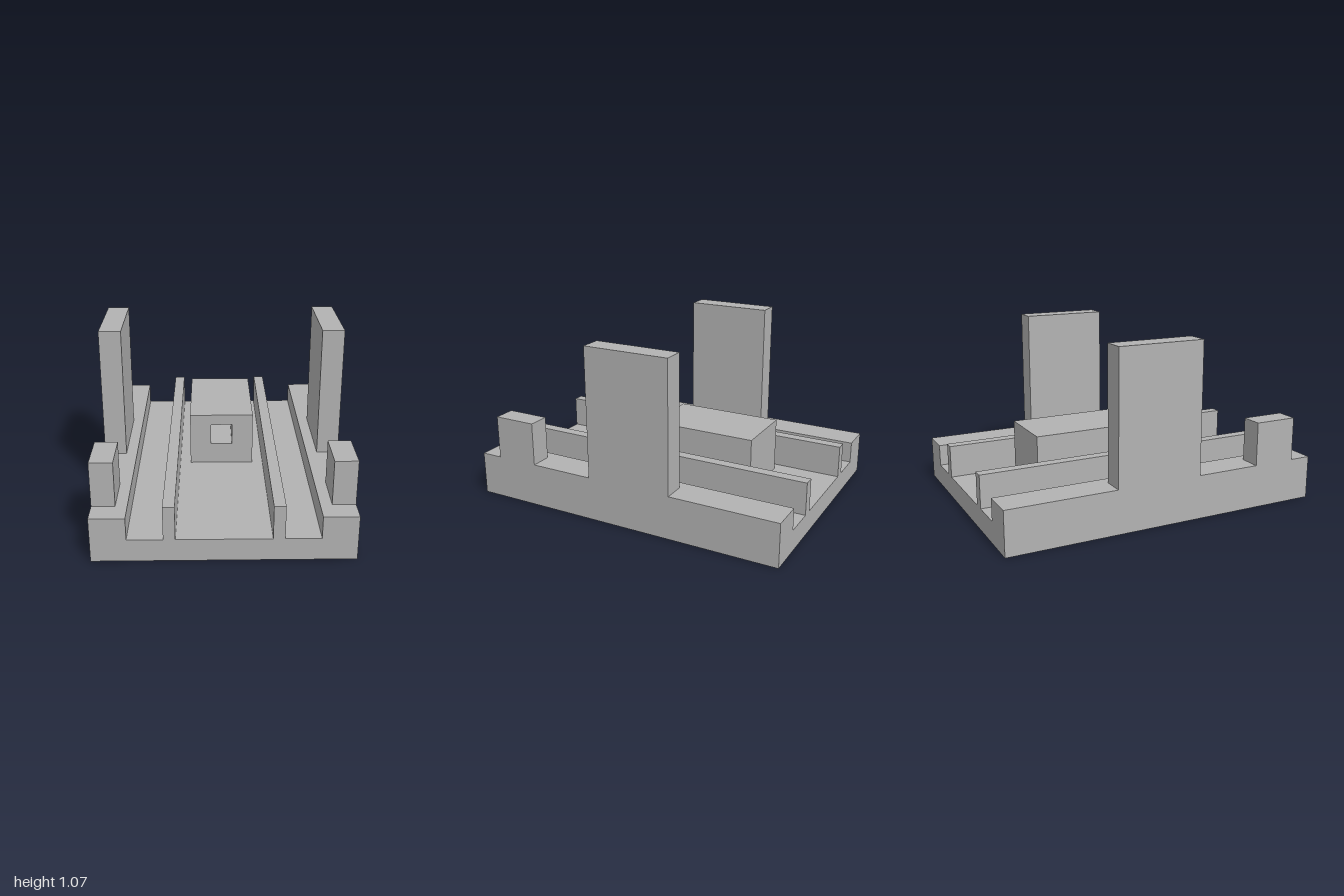
import * as THREE from 'three';

const U = 1 / 15; // module size: every dimension is a multiple of it

export function createModel() {
  const model = new THREE.Group();
  model.name = 'railedBase';
  const grey = new THREE.MeshStandardMaterial({ color: 0xb2b2b2 });
  grey.name = 'light grey';

  function add(name, geometry) {
    const mesh = new THREE.Mesh(geometry, grey);
    mesh.name = name;
    model.add(mesh);
  }

  // Box given by its limits, in modules
  function box(name, x0, x1, y0, y1, z0, z1) {
    const g = new THREE.BoxGeometry((x1 - x0) * U, (y1 - y0) * U, (z1 - z0) * U);
    g.translate((x0 + x1) / 2 * U, (y0 + y1) / 2 * U, (z0 + z1) / 2 * U);
    add(name, g);
  }

  const points = list => list.map(([x, y]) => new THREE.Vector2(x * U, y * U));

  function extrude(name, shape, z0, z1) {
    const g = new THREE.ExtrudeGeometry(shape, { depth: (z1 - z0) * U, bevelEnabled: false });
    g.translate(0, 0, z0 * U);
    add(name, g);
  }

  // Base with floor, two rails and raised side ledges: half profile, mirrored
  const half = [[4, 2], [4, 5], [5, 5], [5, 2], [8, 2], [8, 4], [11, 4], [11, 0]];
  const mirrored = half.map(([x, y]) => [-x, y]).reverse();
  extrude('base', new THREE.Shape(points([...mirrored, ...half])), -15, 15);

  // Tall pillar and short post on each ledge
  for (const [side, x0] of [['left', 9], ['right', -11]]) {
    box(side + 'Pillar', x0, x0 + 2, 4, 16, -5, 3);
    box(side + 'Post', x0, x0 + 2, 4, 8, 9, 13);
  }

  // Centre block with a blind square socket in its front
  const face = new THREE.Shape(points([[-3, 2], [3, 2], [3, 7], [-3, 7]]));
  face.holes.push(new THREE.Path(points([[-1, 4], [-1, 6], [1, 6], [1, 4]])));
  extrude('centreBlock', face, -8, 1);
  box('centreBlockBack', -3, 3, 2, 7, -9, -8);

  return model;
}
